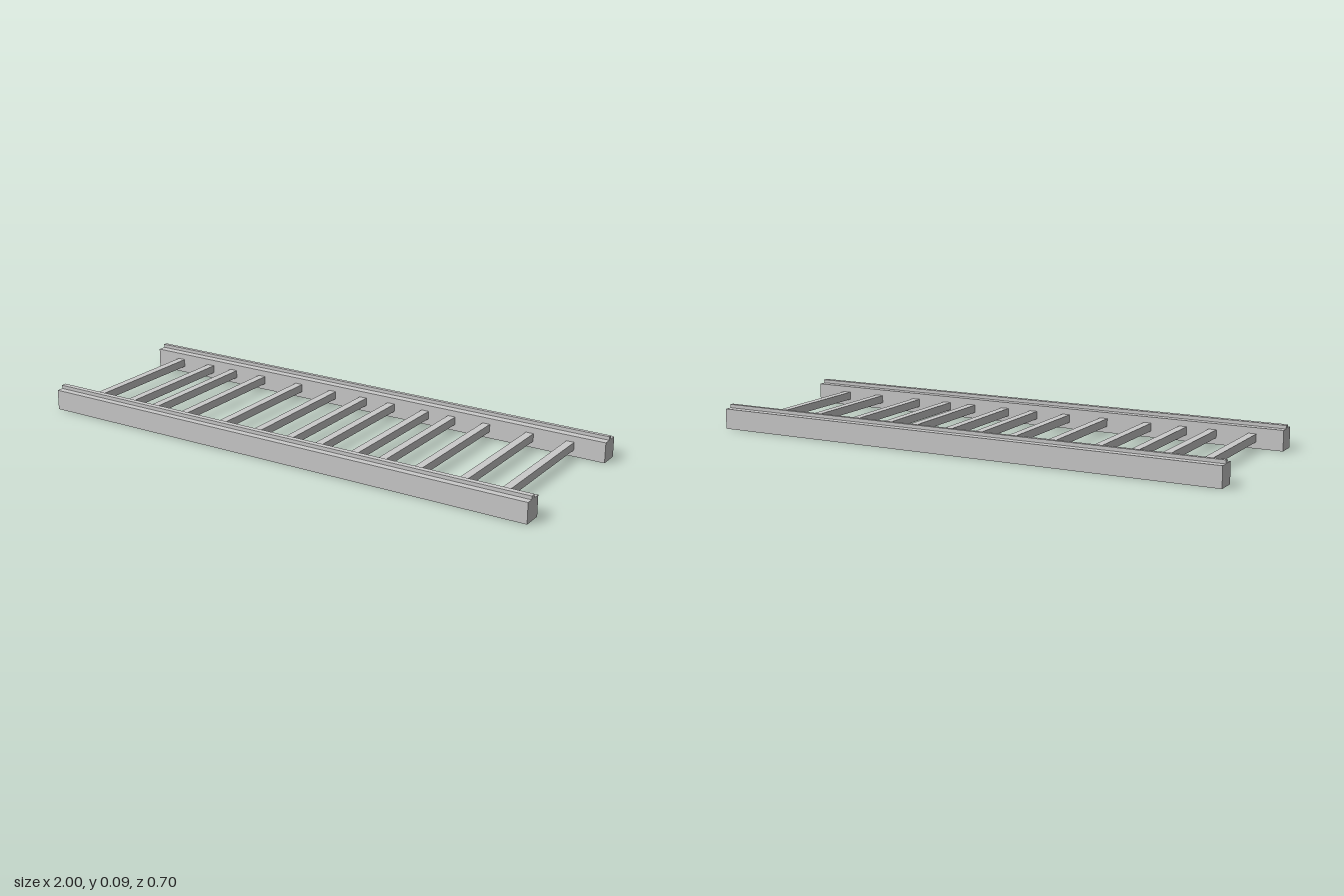
import * as THREE from 'three';

export function createModel() {
  const model = new THREE.Group();
  model.name = 'ladder';
  const material = new THREE.MeshStandardMaterial({ color: 0xcccccc, flatShading: true });

  // Side rail: rectangular beam with a narrow ridge along its top
  function addRail(name, z, ridgeZ, ridgeWidth) {
    const h = 0.0375, top = 0.077, ridgeTop = 0.09;
    const a = ridgeZ - ridgeWidth / 2, b = ridgeZ + ridgeWidth / 2;
    const profile = new THREE.Shape([
      [z - h, 0], [z + h, 0], [z + h, top], [b, top],
      [b, ridgeTop], [a, ridgeTop], [a, top], [z - h, top],
    ].map(([pz, py]) => new THREE.Vector2(-pz, py)));
    const geometry = new THREE.ExtrudeGeometry(profile, { depth: 2, bevelEnabled: false });
    geometry.translate(0, 0, -1).rotateY(Math.PI / 2);
    const rail = new THREE.Mesh(geometry, material);
    rail.name = name;
    model.add(rail);
  }
  addRail('frontRail', 0.3125, 0.3135, 0.021);
  addRail('backRail', -0.3125, -0.3135, 0.015);

  // Unevenly spaced square rungs between the rails
  const rungGeometry = new THREE.BoxGeometry(0.03, 0.03, 0.55);
  const rungPositions = [-0.884, -0.733, -0.617, -0.477, -0.298, -0.14, 0,
    0.125, 0.274, 0.387, 0.531, 0.707, 0.866];
  rungPositions.forEach((x, i) => {
    const rung = new THREE.Mesh(rungGeometry, material);
    rung.name = `rung${i + 1}`;
    rung.position.set(x, 0.0392, 0);
    model.add(rung);
  });

  return model;
}
